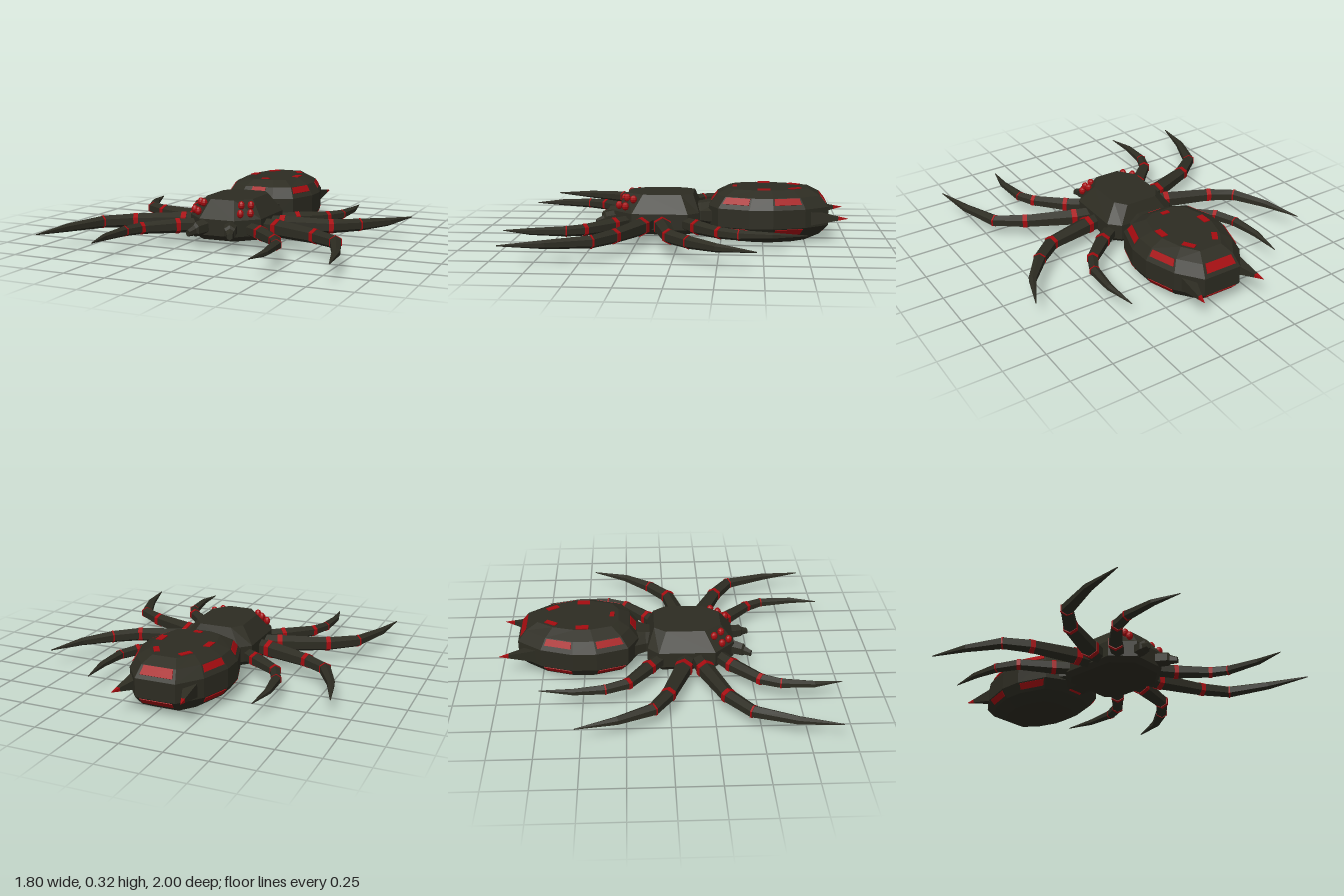
import * as THREE from 'three';

const V = (x, y, z) => new THREE.Vector3(x, y, z);

// Closed, faceted solid through a list of equal-length rings of points
function loft(rings) {
  const tris = [], n = rings[0].length;
  const middle = r => r.reduce((a, p) => a.add(p), V(0, 0, 0)).divideScalar(n);
  const first = rings[0], last = rings[rings.length - 1];
  const c0 = middle(first), c1 = middle(last);
  for (let k = 0; k < n; k++) {
    const j = (k + 1) % n;
    for (let i = 0; i < rings.length - 1; i++) {
      const a = rings[i][k], b = rings[i][j], c = rings[i + 1][j], d = rings[i + 1][k];
      tris.push([a, b, c], [a, c, d]);
    }
    tris.push([c0, first[j], first[k]], [c1, last[k], last[j]]);
  }
  // Turn the faces outward, whichever way the rings run
  const volume = tris.reduce((s, [a, b, c]) =>
    s + a.clone().sub(c0).dot(b.clone().sub(c0).cross(c.clone().sub(c0))), 0);
  const pts = tris.flatMap(([a, b, c]) => (volume < 0 ? [a, c, b] : [a, b, c]));
  const g = new THREE.BufferGeometry().setFromPoints(pts);
  g.computeVertexNormals();
  return g;
}

// Polygon ring around a centre, facing along a horizontal direction
function ringAt(center, dir, rx, ry = rx, sides = 6) {
  const side = V(-dir.z, 0, dir.x).normalize();
  return Array.from({ length: sides }, (_, k) => {
    const a = ((k + 0.5) / sides) * Math.PI * 2;
    return center.clone().addScaledVector(side, Math.cos(a) * rx).add(V(0, Math.sin(a) * ry, 0));
  });
}

// Right half of a plan outline, completed by mirroring
const mirrored = half => [...half, ...half.slice().reverse().map(([x, z]) => [-x, z])];

export function createModel() {
  const model = new THREE.Group();
  const shell = new THREE.MeshStandardMaterial({ color: 0x2d2c22 });
  shell.name = 'dark shell';
  const red = new THREE.MeshStandardMaterial({ color: 0xa60c10 });
  red.name = 'red marking';

  const add = (parent, name, geometry, material) => {
    const m = new THREE.Mesh(geometry, material);
    m.name = name;
    parent.add(m);
    return m;
  };

  const body = new THREE.Group();
  body.name = 'body';
  body.position.x = -0.027;
  model.add(body);

  // Head and thorax
  const level = (outline, y, s = 1, cz = 0.14) =>
    outline.map(([x, z]) => V(x * s, y, cz + (z - cz) * s));
  const wide = mirrored([[0.165, -0.12], [0.228, -0.055], [0.228, 0.28], [0.11, 0.40]]);
  const roof = mirrored([[0.1, -0.08], [0.15, -0.01], [0.15, 0.22], [0.075, 0.32]]);
  add(body, 'thorax', loft([level(wide, 0.045, 0.9), level(wide, 0.075),
    level(wide, 0.17), level(roof, 0.275)]), shell);

  // Waist
  const back = V(0, 0, -1);
  add(body, 'waist', loft([
    ringAt(V(0, 0.14, -0.07), back, 0.11, 0.07, 8),
    ringAt(V(0, 0.145, -0.13), back, 0.125, 0.075, 8),
    ringAt(V(0, 0.15, -0.26), back, 0.2, 0.095, 8)]), shell);

  // Abdomen: stacked levels of [height, width scale, length scale]
  const plan = mirrored([[0.11, -0.175], [0.225, -0.235], [0.285, -0.42],
    [0.285, -0.56], [0.225, -0.75], [0.12, -0.89]]);
  const levels = [[0, 0.62, 0.62], [0.045, 0.87, 0.86], [0.1, 1, 1],
    [0.21, 1, 1], [0.275, 0.86, 0.86], [0.312, 0.6, 0.67]]
    .map(([y, sx, sz]) => plan.map(([x, z]) => V(x * sx, y, -0.53 + (z + 0.53) * sz)));
  add(body, 'abdomen', loft(levels), shell);

  // Red plates lying on one facet of the abdomen
  const facetPlate = (i, k, u0, u1, v0, v1) => {
    const j = (k + 1) % plan.length;
    const at = (u, v) => levels[i][k].clone().lerp(levels[i][j], u)
      .lerp(levels[i + 1][k].clone().lerp(levels[i + 1][j], u), v);
    const q = [at(u0, v0), at(u1, v0), at(u1, v1), at(u0, v1)];
    const n = q[1].clone().sub(q[0]).cross(q[3].clone().sub(q[0])).normalize();
    if (n.dot(q[0].clone().sub(V(0, 0.155, -0.53))) < 0) n.negate();
    const shift = d => q.map(p => p.clone().addScaledVector(n, d));
    add(body, 'abdomen plate', loft([shift(-0.004), shift(0.004)]), red);
  };
  for (const k of [1, 3, 7, 9]) {
    facetPlate(3, k, 0.06, 0.94, 0.4, 0.95);
    facetPlate(1, k, 0.06, 0.94, 0.3, 0.9);
  }
  for (const [k, u] of [[5, 0.08], [11, 0.27]]) {
    facetPlate(3, k, u, 1 - u, 0.3, 0.98);
    facetPlate(1, k, u, 1 - u, 0.3, 0.9);
  }

  // Small red spots on top: x, z, width, length, turn
  const spot = (x, z, w, l, turn) => {
    const m = add(body, 'back spot', new THREE.BoxGeometry(w, 0.008, l), red);
    m.position.set(x, 0.313, z);
    m.rotation.y = turn;
  };
  spot(0, -0.33, 0.05, 0.027, 0);
  for (const s of [-1, 1]) {
    spot(s * 0.147, -0.505, 0.04, 0.075, 0);
    spot(s * 0.088, -0.69, 0.033, 0.075, s * 0.55);

    // Tail spikes with red tips
    const spike = t => ringAt(V(s * (0.155 + 0.048 * t), 0.15 + 0.005 * t, -0.76 - 0.24 * t),
      back, 0.062 * (1 - t) + 0.001, 0.062 * (1 - t) + 0.001, 4);
    add(body, 'tail spike', loft([spike(0), spike(0.76)]), shell);
    add(body, 'tail spike tip', loft([spike(0.76), spike(1)]), red);

    // Clustered eyes on the front corners
    for (const [x, y, z] of [[0.162, 0.247, 0.275], [0.12, 0.25, 0.318],
      [0.18, 0.208, 0.322], [0.135, 0.208, 0.365]]) {
      const eye = add(body, 'eye', new THREE.SphereGeometry(0.021, 8, 6).toNonIndexed(), red);
      eye.geometry.computeVertexNormals();
      eye.position.set(s * x, y, z);
      eye.scale.set(1, 1.2, 1);
    }

    // Jaws
    const out = V(s * 0.4, 0, 1);
    add(body, 'jaw', loft([
      ringAt(V(s * 0.075, 0.125, 0.36), out, 0.045, 0.05),
      ringAt(V(s * 0.11, 0.115, 0.455), out, 0.037, 0.043),
      ringAt(V(s * 0.115, 0.11, 0.465), out, 0.026, 0.03),
      ringAt(V(s * 0.132, 0.1, 0.505), out, 0.018, 0.02)]), shell);
  }

  // Legs: thickness scale, then [x, z] from hip to tip
  const legs = {
    leftHindLeg: [0.82, [0.15, -0.03], [0.27, -0.115], [0.42, -0.25], [0.476, -0.363], [0.49, -0.55], [0.47, -0.745]],
    rightHindLeg: [0.82, [-0.2, -0.03], [-0.305, -0.115], [-0.47, -0.24], [-0.525, -0.37], [-0.543, -0.55], [-0.525, -0.745]],
    leftRearMiddleLeg: [1, [0.14, 0.11], [0.26, 0.09], [0.54, 0.025], [0.68, -0.09], [0.81, -0.25], [0.9, -0.46]],
    rightRearMiddleLeg: [1, [-0.2, 0.115], [-0.32, 0.09], [-0.587, -0.01], [-0.725, -0.1], [-0.822, -0.3], [-0.89, -0.53]],
    leftFrontMiddleLeg: [1, [0.14, 0.18], [0.28, 0.215], [0.555, 0.335], [0.71, 0.44], [0.795, 0.68], [0.845, 0.93]],
    rightFrontMiddleLeg: [1, [-0.2, 0.18], [-0.335, 0.215], [-0.61, 0.325], [-0.765, 0.45], [-0.855, 0.69], [-0.9, 0.93]],
    leftForeLeg: [0.82, [0.13, 0.3], [0.243, 0.38], [0.39, 0.53], [0.44, 0.628], [0.46, 0.83], [0.44, 0.995]],
    rightForeLeg: [0.82, [-0.19, 0.3], [-0.296, 0.375], [-0.45, 0.527], [-0.497, 0.64], [-0.513, 0.83], [-0.49, 0.995]],
  };
  const radii = [0.05, 0.053, 0.042, 0.037, 0.025, 0.003];
  for (const [name, [size, ...path]] of Object.entries(legs)) {
    const leg = new THREE.Group();
    leg.name = name;
    model.add(leg);
    const pts = path.map(([x, z]) => V(x, 0.11, z));
    const dirs = pts.map((p, i) =>
      pts[Math.min(i + 1, 5)].clone().sub(pts[Math.max(i - 1, 0)]).normalize());
    add(leg, 'leg shell', loft(pts.map((p, i) => ringAt(p, dirs[i], radii[i] * size))), shell);
    // Red joint bands
    [[1, 0.032], [2, 0.028], [3, 0.01]].forEach(([i, len]) => {
      const end = d => ringAt(pts[i].clone().addScaledVector(dirs[i], d * size), dirs[i], radii[i] * size * 1.07);
      add(leg, 'joint band', loft([end(-len / 2), end(len / 2)]), red);
    });
  }
  return model;
}
